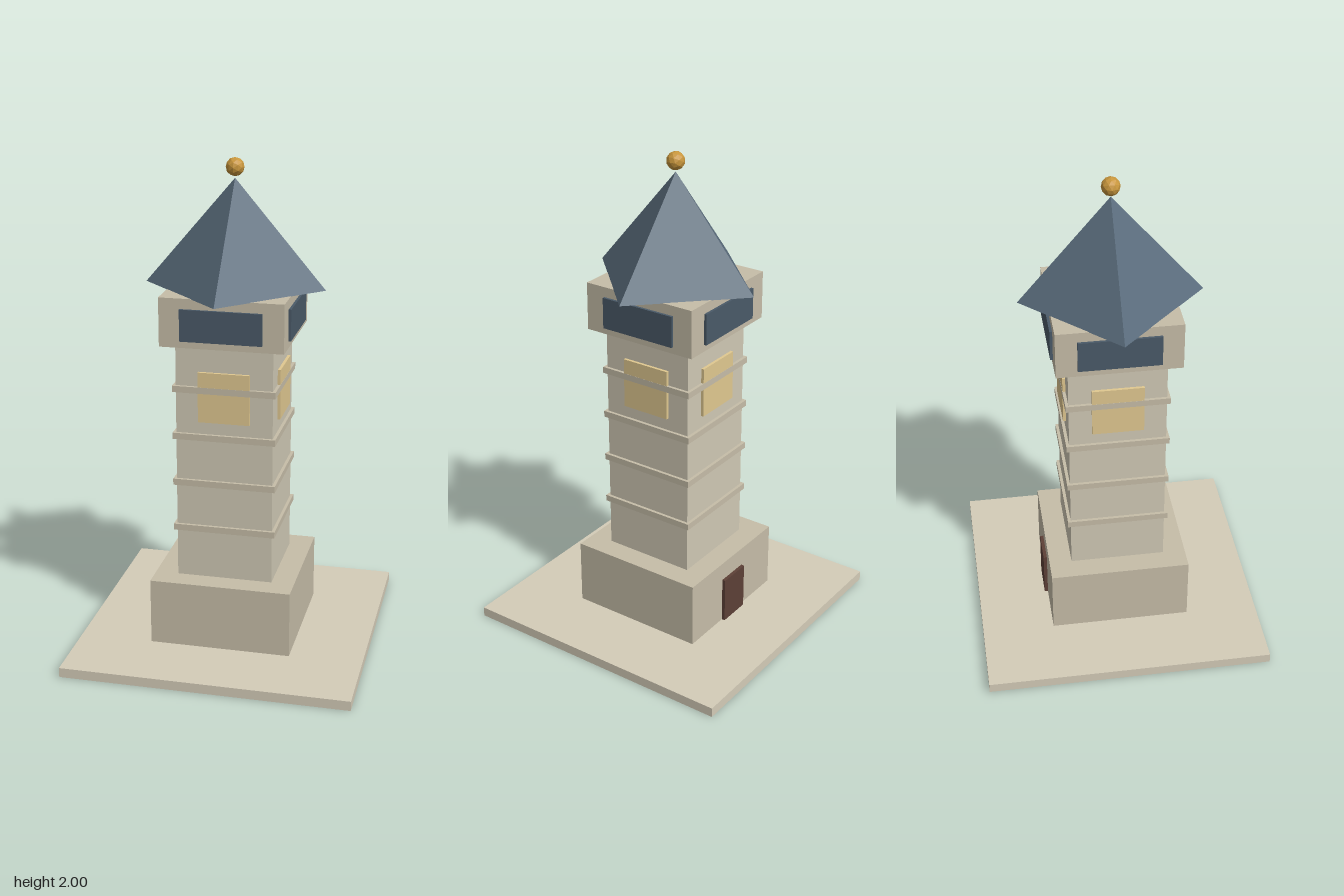
import * as THREE from 'three';

const material = (color) => new THREE.MeshStandardMaterial({ color, flatShading: true });

export function createModel() {
  const tower = new THREE.Group();
  tower.name = 'tower';

  const paving = material(0xd4ccb8);
  const trim = material(0xc6bda8);
  const stone = material(0xd0c9b5);
  const slate = material(0x5a6c7c);
  const darkGlass = material(0x4a5a68);
  const litGlass = material(0xe0c890);
  const wood = material(0x5d4037);
  const brass = material(0xc8963c);

  const add = (name, geometry, mat, y, parent = tower) => {
    const mesh = new THREE.Mesh(geometry, mat);
    mesh.name = name;
    mesh.position.y = y;
    parent.add(mesh);
    return mesh;
  };

  // Square block centred on the axis, from y0 to y1
  const block = (name, width, y0, y1, mat) =>
    add(name, new THREE.BoxGeometry(width, y1 - y0, width), mat, (y0 + y1) / 2);

  // Thin panel standing out from one wall, turned to the given side
  const panel = (name, width, y0, y1, inner, outer, mat, side) => {
    const pivot = new THREE.Group();
    pivot.name = name;
    pivot.rotation.y = side * Math.PI / 2;
    tower.add(pivot);
    const geometry = new THREE.BoxGeometry(width, y1 - y0, outer - inner);
    add(name + 'Panel', geometry, mat, (y0 + y1) / 2, pivot).position.z = (inner + outer) / 2;
  };

  // Stacked masonry
  block('groundSlab', 1.172, 0, 0.04, paving);
  block('base', 0.576, 0.04, 0.315, trim);
  block('shaft', 0.39, 0.315, 1.298, stone);
  block('lookout', 0.493, 1.298, 1.494, trim);

  // Four string courses around the shaft
  for (let i = 0; i < 4; i++) {
    const y = 0.528 + i * 0.196;
    block('stringCourse', 0.415, y - 0.013, y + 0.013, trim);
  }

  // Lit window and lookout opening on every side
  for (let side = 0; side < 4; side++) {
    panel('window', 0.207, 0.985, 1.19, 0.185, 0.2068, litGlass, side);
    panel('lookoutOpening', 0.325, 1.326, 1.453, 0.237, 0.257, darkGlass, side);
  }

  // Door at the back
  panel('door', 0.143, 0.04, 0.236, 0.28, 0.302, wood, 2);

  // Pyramid roof set corner-on to the walls, with a ball finial
  add('roof', new THREE.ConeGeometry(0.363, 0.427, 4), slate, 1.7065);
  add('finial', new THREE.IcosahedronGeometry(0.037, 1), brass, 1.963);

  return tower;
}
